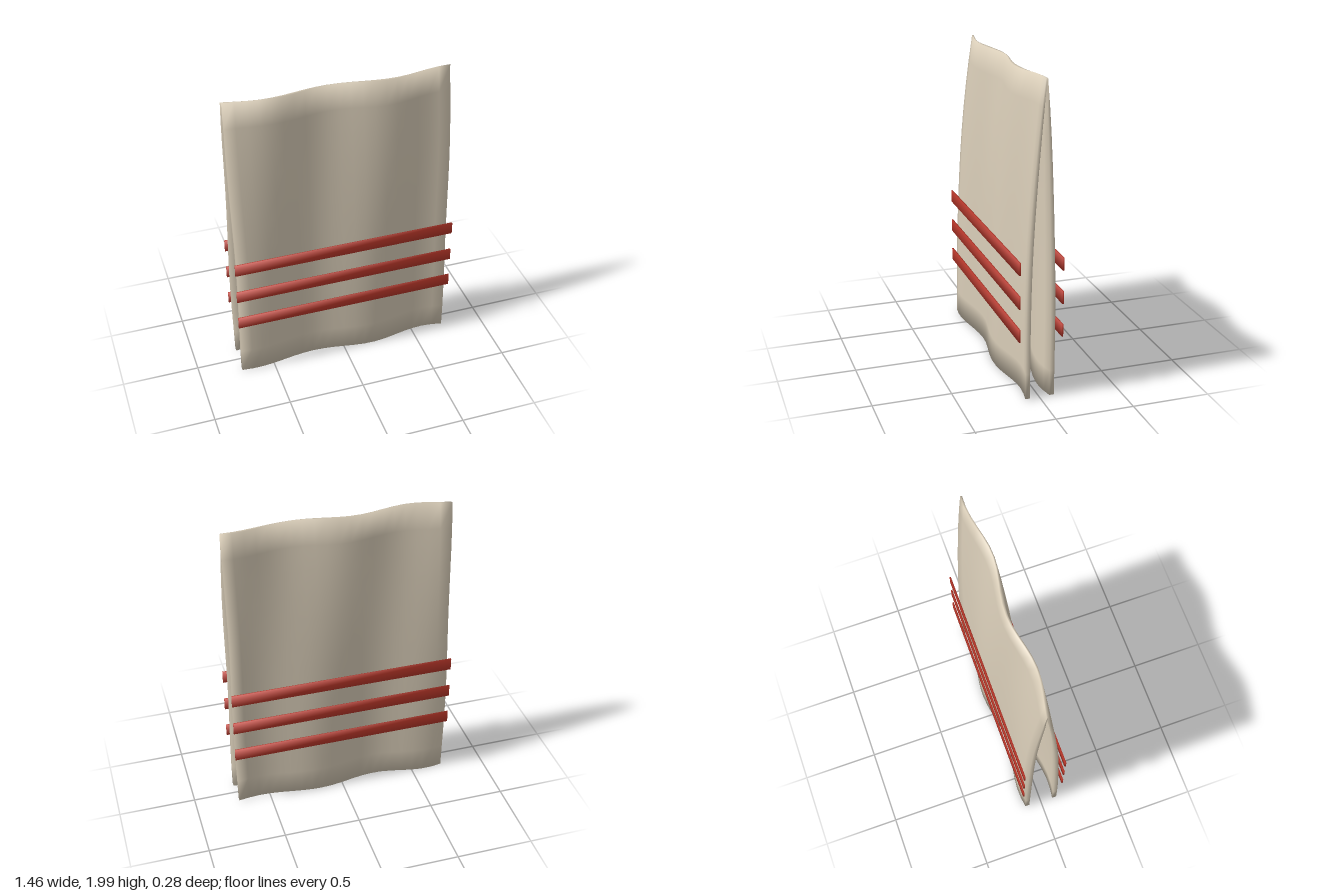
import * as THREE from 'three';
import { mergeVertices } from 'three/addons/utils/BufferGeometryUtils.js';

const ROWS = 12;     // steps from hem to fold
const COLS = 20;     // steps across the width
const HALF_WIDTH = 0.716;

// Soft normals shared over every edge, each face counting equally
function soften(geometry) {
  geometry.deleteAttribute('normal');
  geometry.deleteAttribute('uv');
  const geo = mergeVertices(geometry);
  const pos = geo.attributes.position, index = geo.index;
  const sums = Array.from({ length: pos.count }, () => new THREE.Vector3());
  const tri = new THREE.Triangle(), n = new THREE.Vector3();
  for (let i = 0; i < index.count; i += 3) {
    const ids = [0, 1, 2].map((k) => index.getX(i + k));
    tri.setFromAttributeAndIndices(pos, ...ids);
    tri.getNormal(n);
    ids.forEach((id) => sums[id].add(n));
  }
  const normals = sums.flatMap((v) => v.normalize().toArray());
  geo.setAttribute('normal', new THREE.Float32BufferAttribute(normals, 3));
  return geo;
}

// Point on the cloth: side is +1 front or -1 back, skin is +1 outer or -1 inner
function clothPoint(x, t, side, skin) {
  const spread = 0.085 * (1 - t ** 2.5);
  const thickness = 0.015 - 0.01 * t ** 3;
  const bulge = 0.025 * Math.cos(8.2 * (x - 0.17)) * (1 - t * t);
  const ridge = 0.026 * Math.cos(8.6 * (x - 0.3)) * t * t;
  const y = 0.007 + 1.988 * t + 0.003 * Math.sin(11 * x + side);
  const z = side * (spread + bulge + skin * thickness) + ridge;
  return [x + 0.004 * Math.sin(9 * t + side) * (x / HALF_WIDTH), y, z];
}

// Inverted-V section swept across the width, closed at both ends
function clothGeometry() {
  const positions = [], indices = [];
  const loop = 4 * ROWS + 3;
  const apex = 3 * ROWS + 2;
  for (let i = 0; i <= COLS; i++) {
    const x = HALF_WIDTH * (2 * i / COLS - 1);
    for (let j = 0; j <= ROWS; j++) positions.push(...clothPoint(x, j / ROWS, 1, 1));
    for (let j = ROWS; j >= 0; j--) positions.push(...clothPoint(x, j / ROWS, -1, 1));
    for (let j = 0; j < ROWS; j++) positions.push(...clothPoint(x, j / ROWS, -1, -1));
    const top = clothPoint(x, 1, 1, 0);
    positions.push(top[0], top[1] - 0.03, top[2]);
    for (let j = ROWS - 1; j >= 0; j--) positions.push(...clothPoint(x, j / ROWS, 1, -1));
  }
  const quad = (a, b, c, d) => indices.push(a, b, c, a, c, d);
  for (let i = 0; i < COLS; i++) {
    for (let j = 0; j < loop; j++) {
      const k = (j + 1) % loop, p = i * loop, q = p + loop;
      quad(p + j, q + j, q + k, p + k);
    }
  }
  // Side hems
  for (const [base, right] of [[0, false], [COLS * loop, true]]) {
    const face = (...ids) => {
      const f = ids.map((id) => id + base);
      if (!right) f.reverse();
      if (f.length === 4) quad(...f);
      else indices.push(...f);
    };
    for (let j = 0; j < ROWS; j++) {
      face(j, loop - 1 - j, loop - 2 - j, j + 1);
      face(2 * ROWS + 2 + j, 2 * ROWS + 1 - j, 2 * ROWS - j, 2 * ROWS + 3 + j);
    }
    face(ROWS, apex, ROWS + 1);
  }
  const geo = new THREE.BufferGeometry();
  geo.setAttribute('position', new THREE.Float32BufferAttribute(positions, 3));
  geo.setIndex(indices);
  return soften(geo);
}

export function createModel() {
  const beige = new THREE.MeshStandardMaterial({ color: 0xd9cdb8 });
  beige.name = 'beige cloth';
  const red = new THREE.MeshStandardMaterial({ color: 0xc0392b });
  red.name = 'red stripe';

  const group = new THREE.Group();
  group.name = 'foldedTowel';

  const cloth = new THREE.Mesh(clothGeometry(), beige);
  cloth.name = 'foldedCloth';
  group.add(cloth);

  // Three flat bands on each face
  const band = soften(new THREE.BoxGeometry(1.46, 0.082, 0.009));
  for (const [name, z] of [['frontStripe', 0.136], ['backStripe', -0.138]]) {
    [0.44, 0.655, 0.87].forEach((y, i) => {
      const stripe = new THREE.Mesh(band, red);
      stripe.name = name + (i + 1);
      stripe.position.set(0, y, z);
      group.add(stripe);
    });
  }
  return group;
}
